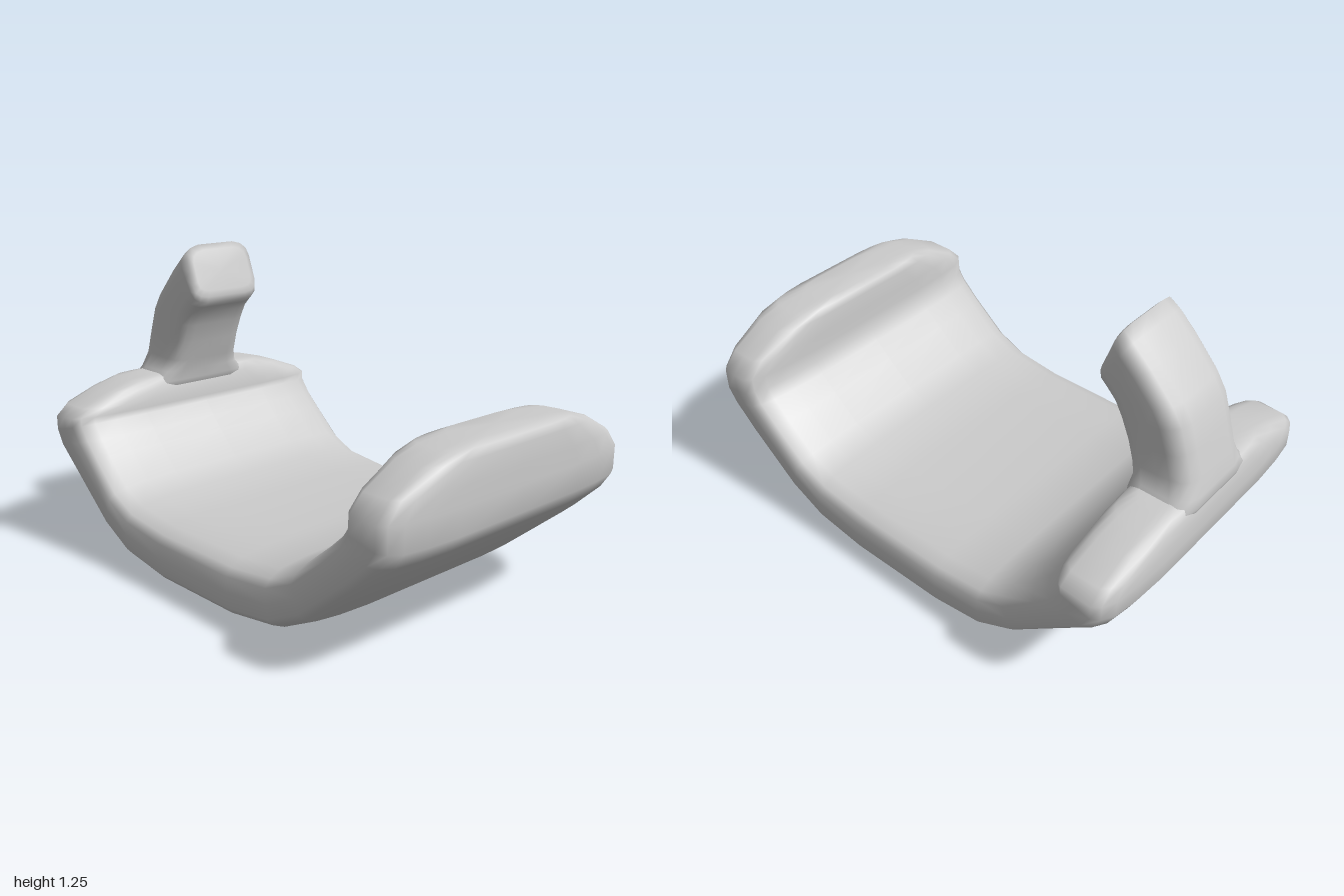
import * as THREE from 'three';

const material = new THREE.MeshStandardMaterial({ color: 0xcccccc, roughness: 0.8 });

// Closed, symmetric section from its +x half, listed from outer side (t = 0) to inner side (t = 1)
function section(half) {
  const left = half.filter(([x]) => x > 0).reverse().map(([x, t]) => [-x, t]);
  return [...half, ...left];
}

// Loft a section along stations [outerZ, outerY, innerZ, innerY, halfWidth], capping both ends
function loft(name, loop, stations) {
  const pos = [], index = [], n = loop.length;
  for (const [oz, oy, iz, iy, w] of stations) {
    for (const [x, t] of loop) pos.push(x * w, oy + (iy - oy) * t, oz + (iz - oz) * t);
  }
  for (let s = 0; s < stations.length - 1; s++) {
    for (let j = 0; j < n; j++) {
      const a = s * n + j, b = s * n + (j + 1) % n, c = a + n, d = b + n;
      index.push(a, c, b, b, c, d);
    }
  }
  for (const s of [0, stations.length - 1]) {
    const [oz, oy, iz, iy] = stations[s];
    const centre = pos.length / 3;
    pos.push(0, (oy + iy) / 2, (oz + iz) / 2);
    for (let j = 0; j < n; j++) {
      const a = s * n + j, b = s * n + (j + 1) % n;
      if (s === 0) index.push(centre, a, b);
      else index.push(centre, b, a);
    }
  }
  const geometry = new THREE.BufferGeometry();
  geometry.setAttribute('position', new THREE.Float32BufferAttribute(pos, 3));
  geometry.setIndex(index);
  geometry.computeVertexNormals();
  const mesh = new THREE.Mesh(geometry, material);
  mesh.name = name;
  return mesh;
}

export function createModel() {
  const group = new THREE.Group();
  group.name = 'curvedCradle';

  // Wide curved plate with a raised, tapering lip at each end
  const plateSection = section([
    [0, 0], [0.5, 0], [0.72, 0.025], [0.88, 0.07], [0.96, 0.16], [1, 0.27], [1, 0.5],
    [1, 0.73], [0.96, 0.84], [0.88, 0.93], [0.72, 0.975], [0.5, 1], [0, 1],
  ]);
  group.add(loft('cradlePlate', plateSection, [
    [0.95, 0.777, 0.79, 0.777, 0.2],
    [0.985, 0.765, 0.765, 0.765, 0.34],
    [0.997, 0.735, 0.757, 0.735, 0.44],
    [1, 0.66, 0.755, 0.66, 0.58],
    [1, 0.59, 0.755, 0.6, 0.64],
    [1, 0.49, 0.75, 0.545, 0.64],
    [0.96, 0.43, 0.72, 0.5, 0.64],
    [0.85, 0.325, 0.65, 0.435, 0.64],
    [0.6, 0.12, 0.53, 0.335, 0.64],
    [0.43, 0.035, 0.41, 0.285, 0.64],
    [0.2, 0, 0.2, 0.262, 0.64],
    [-0.22, 0, -0.22, 0.262, 0.64],
    [-0.44, 0.035, -0.43, 0.285, 0.64],
    [-0.6, 0.12, -0.54, 0.335, 0.64],
    [-0.85, 0.325, -0.64, 0.435, 0.64],
    [-0.97, 0.42, -0.69, 0.49, 0.64],
    [-1, 0.48, -0.735, 0.545, 0.64],
    [-1, 0.55, -0.737, 0.57, 0.64],
    [-0.997, 0.6, -0.74, 0.6, 0.59],
    [-0.99, 0.65, -0.75, 0.65, 0.46],
    [-0.975, 0.68, -0.765, 0.68, 0.35],
    [-0.94, 0.69, -0.795, 0.69, 0.24],
  ]));

  // Narrow hook rising from the back lip, flared at its foot and curling forward
  const hookSection = section([
    [0, 0], [0.55, 0], [0.8, 0.05], [0.95, 0.15], [1, 0.3], [1, 0.5],
    [1, 0.75], [0.95, 0.9], [0.82, 0.97], [0.6, 1], [0, 1],
  ]);
  group.add(loft('hook', hookSection, [
    [-0.98, 0.6, -0.76, 0.6, 0.26],
    [-0.997, 0.66, -0.74, 0.66, 0.235],
    [-0.993, 0.7, -0.738, 0.7, 0.195],
    [-0.975, 0.765, -0.715, 0.75, 0.172],
    [-0.945, 0.87, -0.69, 0.83, 0.17],
    [-0.912, 0.97, -0.655, 0.91, 0.17],
    [-0.87, 1.035, -0.625, 0.965, 0.17],
    [-0.77, 1.145, -0.595, 0.995, 0.17],
    [-0.69, 1.22, -0.573, 1.015, 0.17],
    [-0.645, 1.252, -0.568, 1.04, 0.165],
    [-0.625, 1.23, -0.572, 1.065, 0.14],
  ]));

  return group;
}
